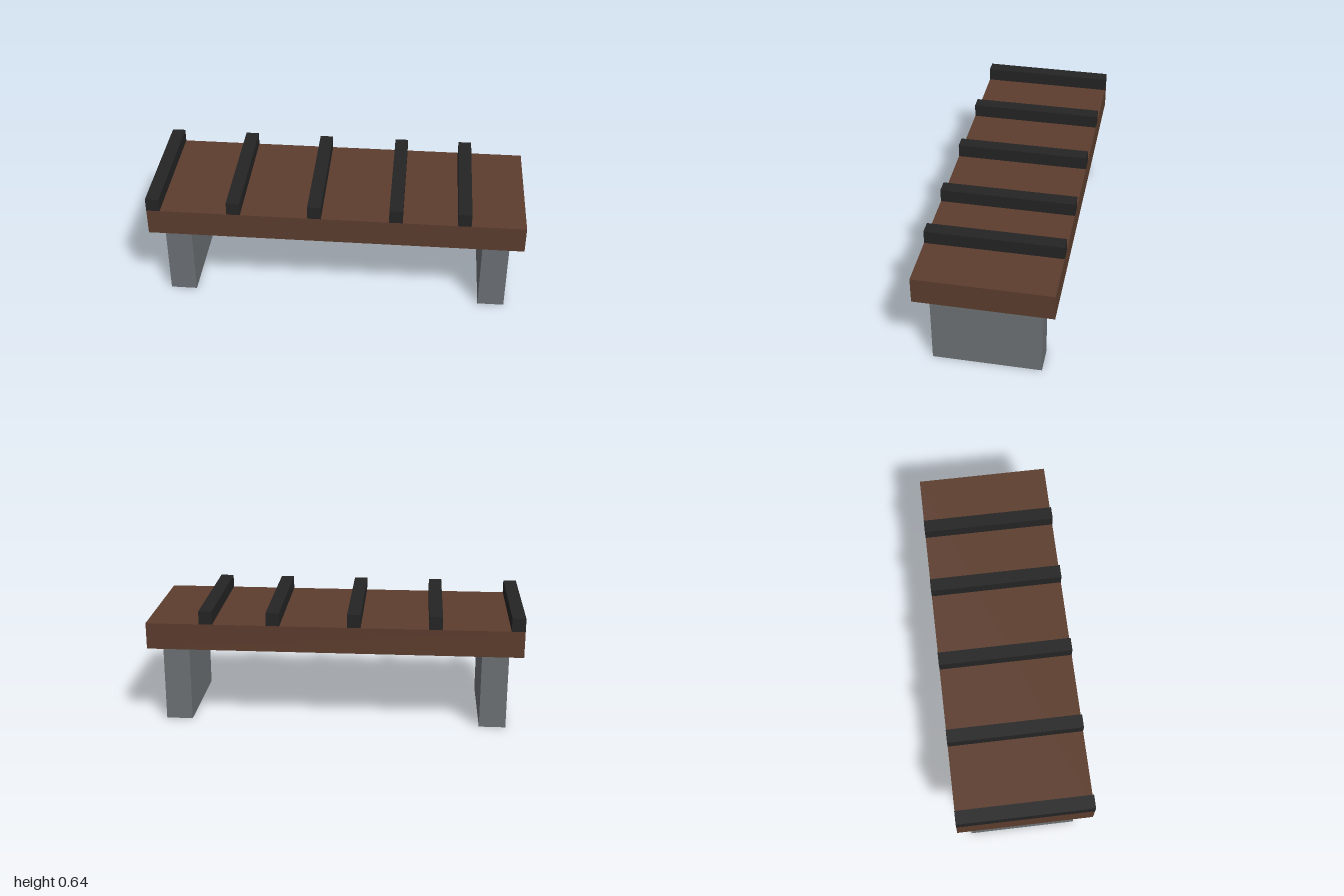
import * as THREE from 'three';

const U = 1 / 14; // modelling unit: the deck is 28 units long

export function createModel() {
  const group = new THREE.Group();
  group.name = 'slattedBench';

  const mat = (name, color) => {
    const m = new THREE.MeshStandardMaterial({ color });
    m.name = name;
    return m;
  };
  const wood = mat('brownWood', 0x5c3d2e);
  const stone = mat('greyStone', 0x6c7175);
  const iron = mat('blackIron', 0x242424);

  // Box in modelling units, placed by its centre x and its bottom y
  const addBox = (name, material, w, h, d, x, bottom) => {
    const mesh = new THREE.Mesh(new THREE.BoxGeometry(w * U, h * U, d * U), material);
    mesh.name = name;
    mesh.position.set(x * U, (bottom + h / 2) * U, 0);
    group.add(mesh);
  };

  // Deck
  addBox('deck', wood, 28, 2, 10, 0, 6);

  // Supports
  addBox('leftSupport', stone, 2, 6, 8, 12, 0);
  addBox('rightSupport', stone, 2, 6, 8, -12, 0);

  // Cross bars lying on the deck
  [-13.5, -7.5, -1.5, 4.5, 9.5].forEach((x, i) => {
    addBox(`crossBar${i + 1}`, iron, 1, 1, 10, x, 8);
  });

  return group;
}
